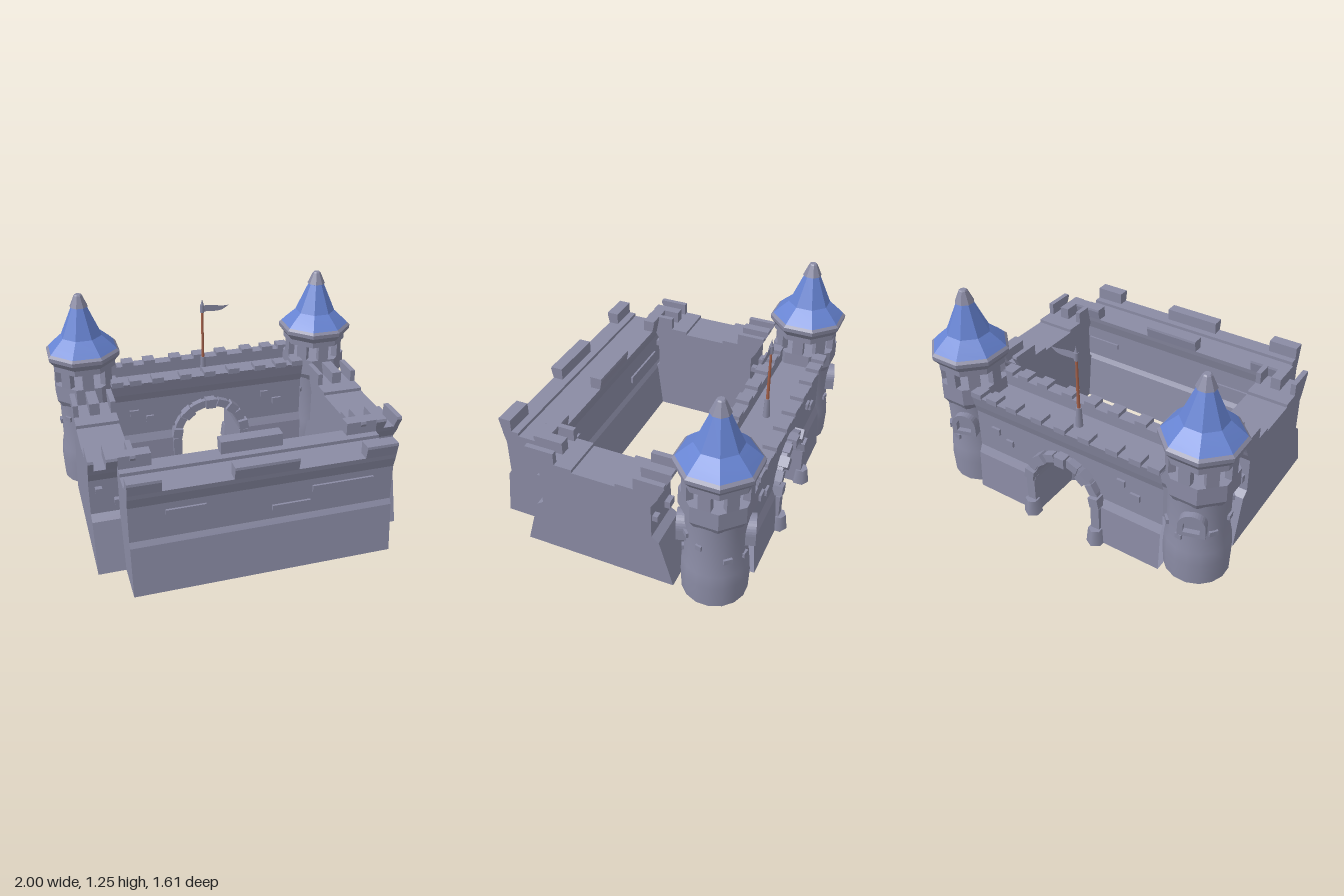
import * as THREE from 'three';
import { toCreasedNormals } from 'three/addons/utils/BufferGeometryUtils.js';

const mat = (name, color, side = THREE.FrontSide) => {
  const m = new THREE.MeshStandardMaterial({ color, side });
  m.name = name;
  return m;
};

export function createModel() {
  const stone = mat('stone', 0x8a8ba4, THREE.DoubleSide);
  const blue = mat('roof blue', 0x6683d2);
  const wood = mat('pole wood', 0xa5614a);
  const castle = new THREE.Group();
  castle.name = 'castle';

  const add = (parent, name, geo, m = stone) => {
    const mesh = new THREE.Mesh(geo, m);
    mesh.name = name;
    parent.add(mesh);
    return mesh;
  };
  const box = (parent, name, x0, x1, y0, y1, z0, z1) => add(parent, name,
    new THREE.BoxGeometry(x1 - x0, y1 - y0, z1 - z0).translate((x0 + x1) / 2, (y0 + y1) / 2, (z0 + z1) / 2));
  // Extrudes a [z, y] outline along x
  const extrudeX = (pts, x0, x1) => new THREE.ExtrudeGeometry(
    new THREE.Shape(pts.map(p => new THREE.Vector2(...p))), { depth: x1 - x0, bevelEnabled: false })
    .rotateY(-Math.PI / 2).translate(x1, 0, 0);
  const mirrored = half => [...half, ...half.map(([z, y]) => [-z, y]).reverse()];
  const lathe = (pts, n) => {
    // radii are measured to the flat sides
    const g = new THREE.LatheGeometry(pts.map(([r, y]) => new THREE.Vector2(r / Math.cos(Math.PI / n), y)), n);
    return toCreasedNormals(g.rotateY(Math.PI / n), n > 10 ? 0.5 : 0.1);
  };

  // Curtain wall, reused at three places with different proportions
  const wallHalf = [[0.195, 0], [0.16, 0.295], [0.142, 0.325], [0.142, 0.54], [0.158, 0.6], [0.163, 0.63], [0.055, 0.63], [0.055, 0.61]];
  const merlonShape = [[0.162, 0.625], [0.176, 0.69], [0.174, 0.705], [0.1, 0.705], [0.1, 0.625]];
  function curtainWall(name, x, z, sx, sz) {
    const wall = new THREE.Group();
    wall.name = name;
    add(wall, 'wallBody', extrudeX(mirrored(wallHalf), -0.75, 0.75));
    for (const s of [1, -1]) {
      for (const [a, b] of [[-0.75, -0.567], [-0.18, 0.18], [0.567, 0.75]])
        add(wall, 'merlon', extrudeX(merlonShape.map(([u, y]) => [u * s, y]), a, b));
    }
    for (const [a, b, y0, y1] of [[-0.55, -0.33, 0.47, 0.5], [0.27, 0.63, 0.46, 0.5], [0.04, 0.26, 0.385, 0.415]])
      box(wall, 'wallStone', a, b, y0, y1, 0.13, 0.155);
    for (const [a, b, y0, y1] of [[-0.63, -0.27, 0.39, 0.435], [0.43, 0.66, 0.43, 0.465]])
      box(wall, 'wallStone', a, b, y0, y1, -0.155, -0.13);
    wall.position.set(x, 0, z);
    wall.scale.set(sx, 1, sz);
    castle.add(wall);
  }
  curtainWall('frontWall', 0, 0.61, 1, 1);
  curtainWall('leftWall', 0.78, 0.1, 0.17, 2.38);
  curtainWall('rightWall', -0.78, 0.1, 0.17, 2.38);

  // Gate wall: wall section lofted along x and cut off below the arch
  const gate = new THREE.Group();
  gate.name = 'gateWall';
  gate.position.z = -0.56;
  castle.add(gate);
  const R = 0.2, spring = 0.25;
  const gateHalf = [[0.185, 0], [0.168, 0.25], [0.145, 0.3], [0.145, 0.55], [0.16, 0.6], [0.178, 0.68], [0.1, 0.68], [0.1, 0.61]];
  const halfAt = y => {
    const i = gateHalf.findIndex((p, k) => k < 5 && y <= gateHalf[k + 1][1]);
    const [a, b] = [gateHalf[i], gateHalf[i + 1]];
    return a[0] + (b[0] - a[0]) * (y - a[1]) / (b[1] - a[1]);
  };
  const section = (x, cut) => mirrored(gateHalf.map(([u, y]) => (y < cut ? [halfAt(cut), cut] : [u, y])))
    .map(([z, y]) => [x, y, z]);
  const rows = [section(-0.64, 0), section(-R, 0)];
  for (let i = 0; i <= 16; i++) {
    const a = Math.PI * (1 - i / 16);
    rows.push(section(R * Math.cos(a), spring + R * Math.sin(a)));
  }
  rows.push(section(R, 0), section(0.64, 0));
  const pos = [];
  for (let i = 0; i < rows.length - 1; i++) {
    for (let j = 0; j < rows[0].length; j++) {
      const k = (j + 1) % rows[0].length;
      const [a, b, c, d] = [rows[i][j], rows[i + 1][j], rows[i + 1][k], rows[i][k]];
      pos.push(...a, ...b, ...c, ...a, ...c, ...d);
    }
  }
  const gateGeo = new THREE.BufferGeometry();
  gateGeo.setAttribute('position', new THREE.Float32BufferAttribute(pos, 3));
  gateGeo.computeVertexNormals();
  add(gate, 'gateWallBody', gateGeo);

  for (const s of [1, -1]) {
    const side = new THREE.Group();
    side.name = s > 0 ? 'gateInnerSide' : 'gateOuterSide';
    side.rotation.y = s > 0 ? 0 : Math.PI;
    gate.add(side);
    for (const x of [-0.6, -0.485, -0.34, -0.16, 0, 0.16, 0.34, 0.485, 0.6])
      box(side, 'gateMerlon', x - 0.037, x + 0.037, 0.67, 0.705, 0.1, 0.182);
    // Arch ring with alternating raised blocks
    const ring = new THREE.Shape().absarc(0, spring, 0.25, 0, Math.PI, false);
    ring.absarc(0, spring, R, Math.PI, 0, true);
    add(side, 'archRing', new THREE.ExtrudeGeometry(ring, { depth: 0.05, bevelEnabled: false, curveSegments: 16 }).translate(0, 0, 0.13));
    for (let i = 0; i < 9; i++) {
      const a = Math.PI * (i + 0.5) / 9, big = i % 2 === 0;
      const block = add(side, 'archBlock', new THREE.BoxGeometry(big ? 0.062 : 0.05, 0.065, 0.08));
      block.position.set(0.23 * Math.cos(a), spring + 0.23 * Math.sin(a), big ? 0.165 : 0.15);
      block.rotation.z = a;
    }
    for (const x of [-0.228, 0.228]) {
      box(side, 'archJamb', x - 0.028, x + 0.028, 0.05, spring, 0.12, 0.195);
      add(side, 'archFoot', new THREE.CylinderGeometry(0.043, 0.055, 0.1, 6).toNonIndexed()).position.set(x, 0.05, 0.19);
    }
    for (const [x, y, w] of [[-0.5, 0.46, 0.06], [-0.4, 0.41, 0.05], [0.38, 0.48, 0.05], [0.47, 0.42, 0.06]])
      box(side, 'gateStone', x - w / 2, x + w / 2, y - 0.02, y + 0.02, 0.13, 0.16);
  }

  // Flag on the gate
  add(gate, 'poleFoot', new THREE.CylinderGeometry(0.016, 0.022, 0.13, 8)).position.y = 0.67;
  add(gate, 'flagPole', new THREE.CylinderGeometry(0.007, 0.01, 0.34, 8), wood).position.y = 0.9;
  add(gate, 'poleCollar', new THREE.CylinderGeometry(0.014, 0.014, 0.05, 8)).position.y = 1.07;
  add(gate, 'poleTip', new THREE.ConeGeometry(0.011, 0.04, 8)).position.y = 1.115;
  const flag = new THREE.Shape().moveTo(0.01, 1.09);
  flag.bezierCurveTo(0.07, 1.1, 0.11, 1.07, 0.18, 1.08);
  flag.lineTo(0.14, 1.055);
  flag.bezierCurveTo(0.1, 1.04, 0.06, 1.05, 0.01, 1.05);
  add(gate, 'flag', new THREE.ShapeGeometry(flag));

  // Corner towers
  for (const s of [1, -1]) {
    const tower = new THREE.Group();
    tower.name = s > 0 ? 'leftTower' : 'rightTower';
    tower.position.set(0.78 * s, 0, -0.56);
    castle.add(tower);
    add(tower, 'towerShaft', lathe([[0, 0], [0.183, 0], [0.188, 0.14], [0.182, 0.22], [0.17, 0.28], [0.17, 0.56]], 16));
    add(tower, 'galleryBase', lathe([[0.165, 0.54], [0.19, 0.585], [0.188, 0.69], [0.145, 0.69], [0, 0.69]], 8));
    add(tower, 'galleryTop', lathe([[0, 0.785], [0.188, 0.785], [0.188, 0.82], [0.218, 0.86], [0.22, 0.885], [0.205, 0.9]], 8));
    add(tower, 'towerRoof', lathe([[0.214, 0.89], [0.175, 0.932], [0.12, 0.985], [0.045, 1.17]], 8), blue);
    add(tower, 'roofCap', lathe([[0.04, 1.165], [0.053, 1.17], [0.024, 1.24], [0.018, 1.247], [0, 1.247]], 8));
    for (let i = 0; i < 8; i++) {
      const pillar = new THREE.Group();
      pillar.name = 'galleryPillar';
      pillar.rotation.y = i * Math.PI / 4;
      box(pillar, 'pillar', -0.034, 0.034, 0.68, 0.79, 0.148, 0.188);
      tower.add(pillar);
    }
    // Arched blind windows on the inner and outer faces
    for (const turn of [0.3, Math.PI + 0.3]) {
      const win = new THREE.Group();
      win.name = 'towerWindow';
      win.rotation.y = turn;
      const arch = (r, y0) => new THREE.Shape().moveTo(-r, y0).lineTo(r, y0).absarc(0, 0.435, r, 0, Math.PI, false);
      const frame = arch(0.075, 0.37);
      frame.holes.push(new THREE.Path(arch(0.045, 0.395).getPoints(8)));
      add(win, 'windowFrame', new THREE.ExtrudeGeometry(frame, { depth: 0.07, bevelEnabled: false, curveSegments: 8 }).translate(0, 0, 0.14));
      add(win, 'windowPane', new THREE.ShapeGeometry(arch(0.047, 0.39), 8).translate(0, 0, 0.178));
      tower.add(win);
    }
    // Scattered bricks: angle from front, height, width
    for (const [a, y, w] of [[0.8, 0.437, 0.05], [1.4, 0.41, 0.035], [2.3, 0.33, 0.05], [0.45, 0.28, 0.03],
      [-0.9, 0.46, 0.045], [-1.5, 0.41, 0.045], [-2.2, 0.36, 0.05], [3.0, 0.31, 0.04]]) {
      const brick = new THREE.Group();
      brick.name = 'towerBrick';
      brick.rotation.y = a;
      box(brick, 'brick', -w / 2, w / 2, y - 0.015, y + 0.015, 0.15, 0.184);
      tower.add(brick);
    }
  }
  return castle;
}
